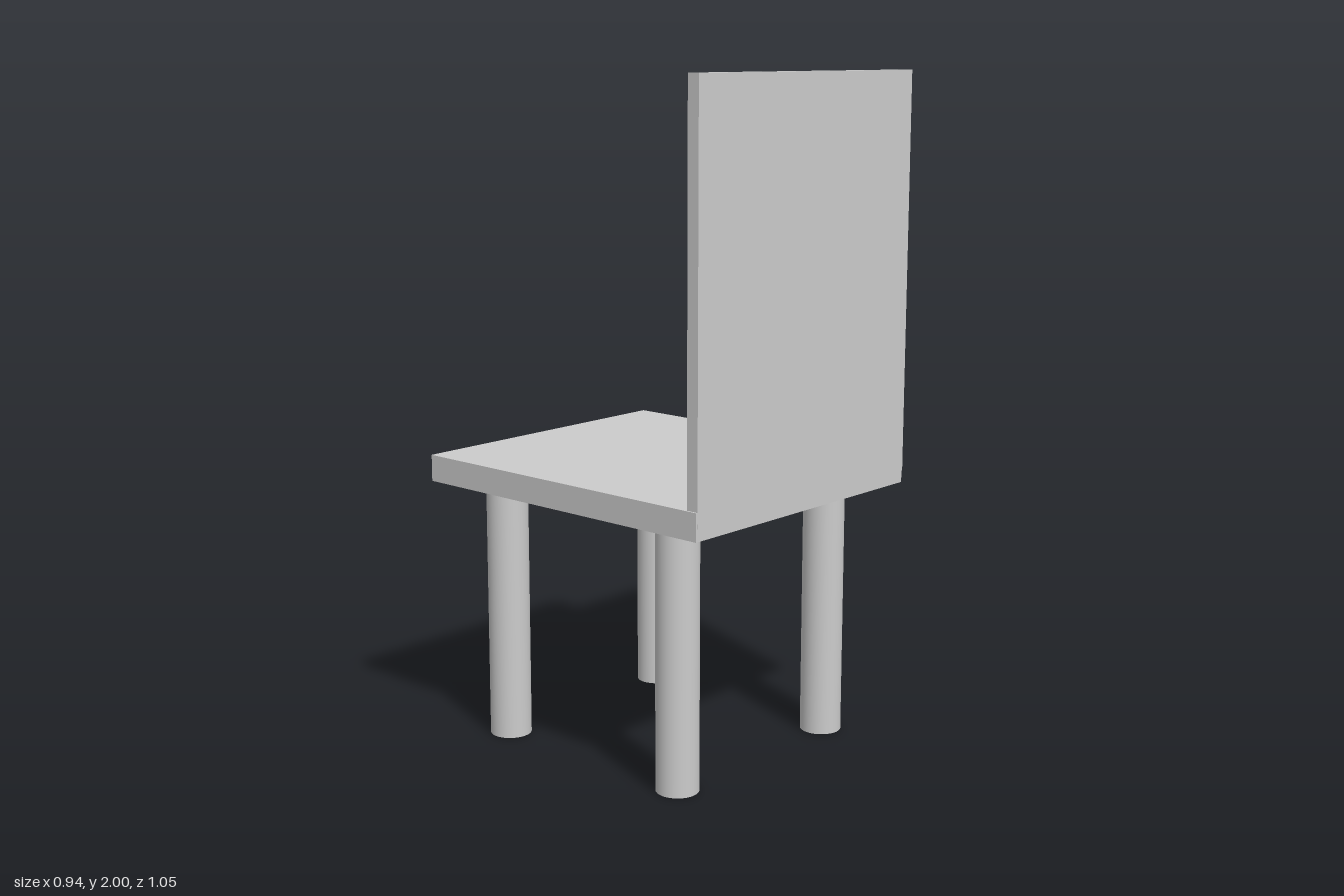
import * as THREE from 'three';

export function createModel() {
  const chair = new THREE.Group();
  chair.name = 'chair';
  const material = new THREE.MeshStandardMaterial({ color: 0xcccccc });

  function add(name, geometry, x, y, z) {
    const mesh = new THREE.Mesh(geometry, material);
    mesh.name = name;
    mesh.position.set(x, y, z);
    chair.add(mesh);
  }

  // Square seat slab
  add('seat', new THREE.BoxGeometry(0.933, 0.08, 1.053), -0.0025, 0.825, 0);

  // Thin upright panel, sunk halfway into the seat along its +z edge
  add('backrest', new THREE.BoxGeometry(0.931, 1.18, 0.037), 0.0015, 1.41, 0.5085);

  // Four round legs
  const legHeight = 0.79;
  const legGeometry = new THREE.CylinderGeometry(0.0625, 0.0625, legHeight, 32);
  for (const [side, x] of [['left', 0.331], ['right', -0.331]]) {
    for (const [end, z] of [['Front', 0.339], ['Back', -0.346]]) {
      add(`${side}${end}Leg`, legGeometry, x, legHeight / 2, z);
    }
  }

  return chair;
}
